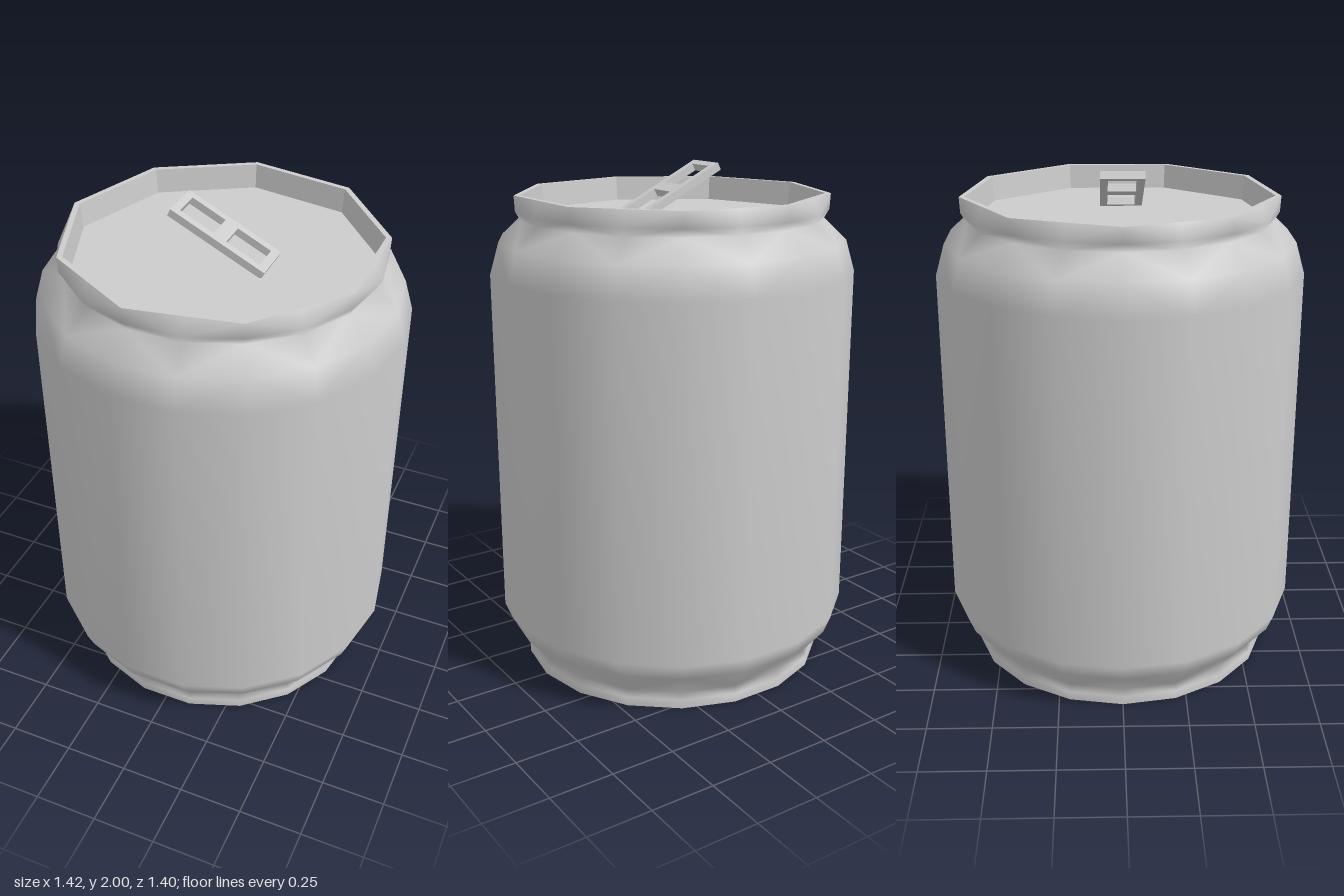
import * as THREE from 'three';

const SIDES = 18;

// Ring of 18 points starting at -x; a nonagon ring pulls every second point onto the flat edge.
function ring(radius, y, nonagon) {
  const points = [];
  for (let i = 0; i < SIDES; i++) {
    const a = Math.PI + (i / SIDES) * Math.PI * 2;
    const r = nonagon && i % 2 ? radius * Math.cos(Math.PI / 9) : radius;
    points.push(r * Math.cos(a), y, r * Math.sin(a));
  }
  return points;
}

// Surface through rings of [radius, y, nonagon], outside facing for rising rings.
function loft(rings) {
  const positions = rings.flatMap((r) => ring(...r));
  const index = [];
  for (let k = 0; k < rings.length - 1; k++) {
    for (let i = 0; i < SIDES; i++) {
      const j = (i + 1) % SIDES;
      const a = k * SIDES + i, b = k * SIDES + j;
      const c = a + SIDES, d = b + SIDES;
      // diagonals alternate so they meet at the nonagon corners
      if (i % 2) index.push(a, d, b, a, c, d);
      else index.push(a, c, b, b, c, d);
    }
  }
  const geometry = new THREE.BufferGeometry();
  geometry.setAttribute('position', new THREE.Float32BufferAttribute(positions, 3));
  geometry.setIndex(index);
  geometry.computeVertexNormals();
  return geometry;
}

function rectangle(path, x0, x1, y0, y1) {
  path.moveTo(x0, y0);
  path.lineTo(x1, y0);
  path.lineTo(x1, y1);
  path.lineTo(x0, y1);
  path.closePath();
  return path;
}

export function createModel() {
  const group = new THREE.Group();
  const smooth = new THREE.MeshStandardMaterial({ color: 0xcccccc });
  const flat = new THREE.MeshStandardMaterial({ color: 0xcccccc, flatShading: true });

  function add(name, geometry, material) {
    const mesh = new THREE.Mesh(geometry, material);
    mesh.name = name;
    group.add(mesh);
    return mesh;
  }

  // Can wall: foot, belly, shoulder, neck and flared nonagon lip
  add('body', loft([
    [0.61, 0], [0.61, 0.035], [0.597, 0.062], [0.682, 0.165], [0.708, 0.23],
    [0.71, 1.6], [0.675, 1.72], [0.588, 1.802], [0.607, 1.835], [0.61, 1.895, true],
  ]), smooth);

  // Flat base
  const base = add('base', new THREE.CircleGeometry(0.61, SIDES), flat);
  base.rotation.x = Math.PI / 2;

  // Rim top and inner wall down to the lid
  add('rim', loft([[0.61, 1.895, true], [0.588, 1.895, true], [0.578, 1.8, true]]), flat);

  // Recessed nonagon lid, one corner toward -x
  const lid = add('lid', new THREE.CircleGeometry(0.578, 9, Math.PI), flat);
  lid.rotation.x = -Math.PI / 2;
  lid.position.y = 1.8;

  // Tilted pull tab with two windows
  const shape = rectangle(new THREE.Shape(), 0, 0.405, -0.083, 0.083);
  for (const x of [0.028, 0.228]) {
    shape.holes.push(rectangle(new THREE.Path(), x, x + 0.145, -0.054, 0.054));
  }
  const tabGeometry = new THREE.ExtrudeGeometry(shape, { depth: 0.03, bevelEnabled: false });
  tabGeometry.translate(0, 0, -0.03).rotateX(-Math.PI / 2);
  const tab = add('pullTab', tabGeometry, flat);
  tab.position.set(-0.165, 2, 0.007);
  tab.rotation.z = -0.455;

  return group;
}
